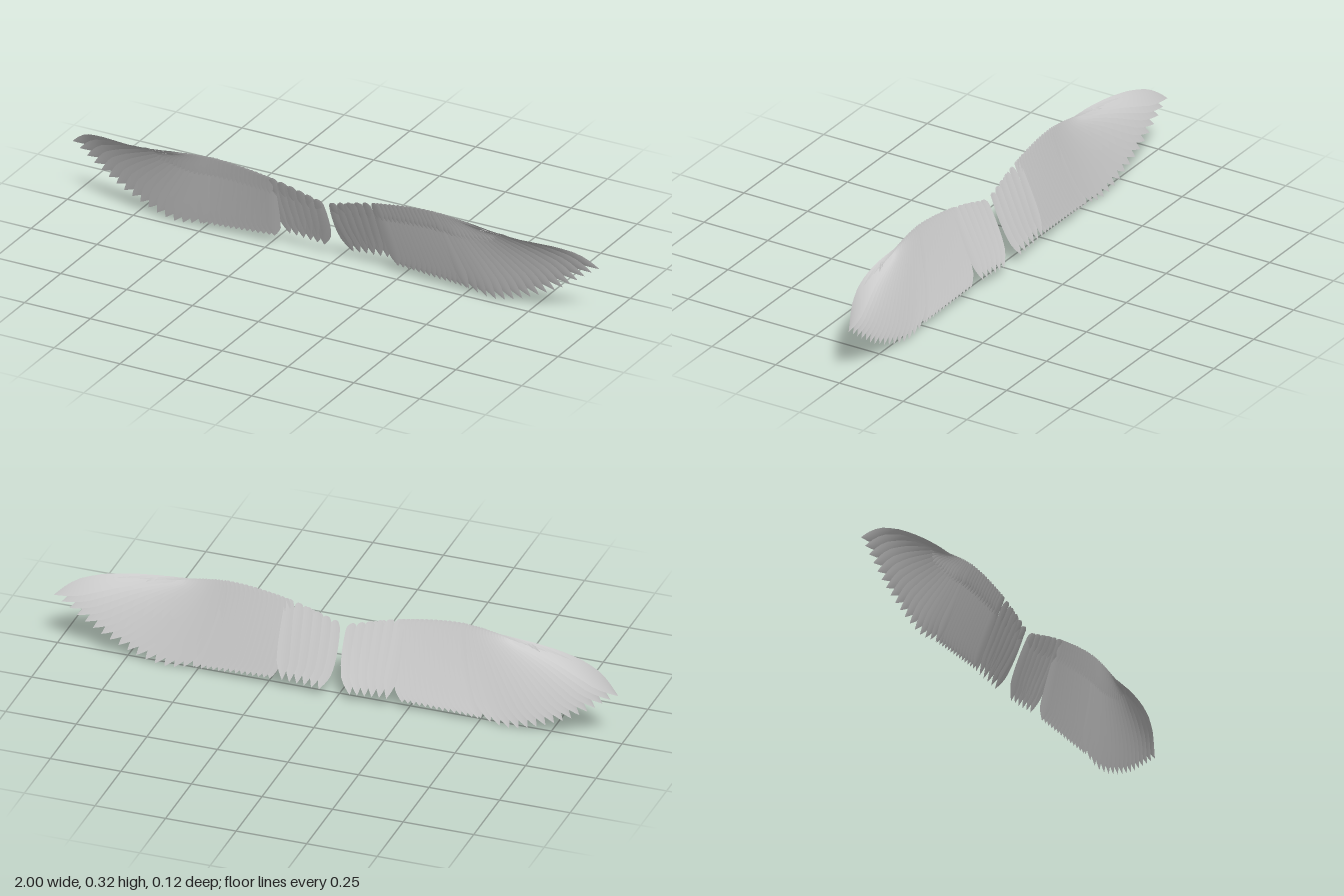
import * as THREE from 'three';
import { mergeGeometries } from 'three/addons/utils/BufferGeometryUtils.js';

const SEG = 16, COLS = 4;
const lerp = THREE.MathUtils.lerp;
const curve = (...pts) => new THREE.CatmullRomCurve3(pts.map((p) => new THREE.Vector3(...p)));

// Leading edge of one wing; each of its three spans carries one section of feathers
const leadingEdge = curve([0.025, 0.251, 0.042], [0.2, 0.296, 0.052], [0.42, 0.32, 0.056], [0.6, 0.293, 0.047]);

// Sections from the body outward: tip line, feather count, half-width and bow (inner, outer)
const sections = [
  { name: 'tertial', count: 6, width: 0.023, bow: [-0.012, 0.004], taper: 0.74, rootWidth: 0.75,
    tips: curve([0.055, 0.035, -0.055], [0.185, 0.045, -0.055]) },
  { name: 'secondary', count: 14, width: 0.026, bow: [0, -0.01], taper: 0.82, rootWidth: 0.7,
    tips: curve([0.235, 0.032, -0.038], [0.5, 0.018, -0.029]) },
  { name: 'primary', count: 17, width: 0.029, bow: [-0.012, 0.022], taper: 0.76, rootWidth: 0.45,
    tips: curve([0.51, 0.018, -0.026], [0.62, 0.003, -0.03], [0.82, 0.078, -0.034], [1, 0.203, -0.036]) },
];

// Half-width along a vane: rounded root, slow widening, pointed tip
function vaneWidth(t, { taper, rootWidth, width }) {
  const root = Math.sqrt(Math.min(1, t / 0.06));
  const body = lerp(rootWidth, 1, Math.min(1, t / 0.6));
  const u = Math.max(0, (t - taper) / (1 - taper));
  return width * root * body * (1 - Math.pow(u, 1.6));
}

// One thin feather: a bowed blade, ridged at its shaft and rolled to overlap the next
function feather(root, tip, rootSide, tipSide, bow, vane, side) {
  const pos = [], index = [];
  const dir = tip.clone().sub(root).normalize();
  const flat = (v) => v.clone().addScaledVector(dir, -v.dot(dir)).normalize();
  const a = flat(rootSide), b = flat(tipSide);
  for (let i = 0; i <= SEG; i++) {
    const t = THREE.MathUtils.smoothstep(i / SEG, 0, 1); // denser rings at both ends
    const across = a.clone().lerp(b, t).normalize();
    const normal = new THREE.Vector3().crossVectors(dir, across).normalize();
    const centre = root.clone().lerp(tip, t)
      .addScaledVector(across, bow * 4 * t * (1 - t))
      .addScaledVector(normal, vane.lift * (1 - t * 0.5));
    const w = vaneWidth(t, vane);
    for (let j = 0; j <= COLS; j++) {
      const s = (j / COLS) * 2 - 1;
      const p = centre.clone().addScaledVector(across, s * w)
        .addScaledVector(normal, w * (0.1 * s - 0.05 * s * s));
      pos.push(p.x * side, p.y, p.z);
      if (i < SEG && j < COLS) {
        const q = i * (COLS + 1) + j, r = q + COLS + 1;
        if (side > 0) index.push(q, r, q + 1, q + 1, r, r + 1);
        else index.push(q, q + 1, r, q + 1, r + 1, r);
      }
    }
  }
  const g = new THREE.BufferGeometry();
  g.setAttribute('position', new THREE.Float32BufferAttribute(pos, 3));
  g.setIndex(index);
  g.computeVertexNormals();
  return g;
}

// A row of feathers over one section; reach is its length relative to the flight feathers
function featherRow(name, k, side, material, reach = 1, layer = {}) {
  const section = sections[k], parts = [];
  const row = { ...section, lift: 0, ...layer };
  for (let i = 0; i < row.count; i++) {
    const f = i / (row.count - 1);
    // rows start a little inside the span so neighbouring sections do not coincide
    const u = (k + lerp(0.03, 0.97, f)) / sections.length;
    const root = leadingEdge.getPoint(u);
    const tip = root.clone().lerp(section.tips.getPointAt(f), reach);
    const bow = lerp(...section.bow, f) * reach;
    parts.push(feather(root, tip, leadingEdge.getTangent(u), section.tips.getTangentAt(f), bow, row, side));
  }
  const mesh = new THREE.Mesh(mergeGeometries(parts), material);
  mesh.name = name;
  return mesh;
}

export function createModel() {
  const model = new THREE.Group();
  model.name = 'wings';
  const material = new THREE.MeshStandardMaterial({ color: 0xcccccc, side: THREE.DoubleSide });
  for (const side of [1, -1]) {
    const wing = new THREE.Group();
    wing.name = side > 0 ? 'leftWing' : 'rightWing';
    // long flight feathers with short coverts over their roots
    sections.forEach(({ name }, k) => {
      wing.add(featherRow(`${name}Feathers`, k, side, material));
      wing.add(featherRow(`${name}Coverts`, k, side, material, 0.28,
        { width: 0.014, taper: 0.55, lift: 0.006 }));
    });
    // narrower, earlier tapering layer in front of the inner feathers
    wing.add(featherRow('frontTertialFeathers', 0, side, material, 0.88,
      { count: 7, width: 0.016, taper: 0.42, lift: 0.004 }));
    model.add(wing);
  }
  return model;
}
